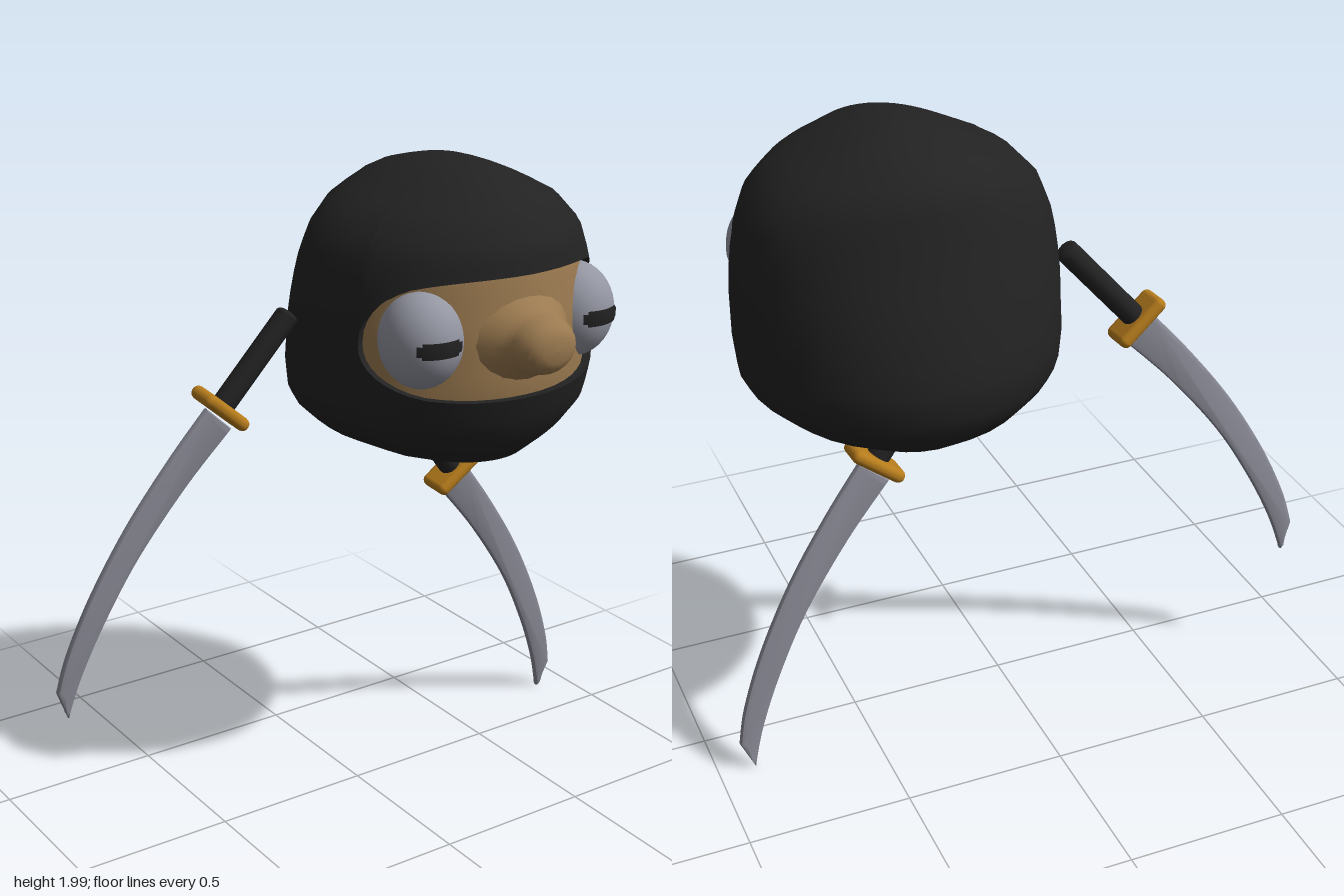
import * as THREE from 'three';
import { mergeVertices, toCreasedNormals } from 'three/addons/utils/BufferGeometryUtils.js';
import { RoundedBoxGeometry } from 'three/addons/geometries/RoundedBoxGeometry.js';

const mat = (name, color) => {
  const m = new THREE.MeshStandardMaterial({ color });
  m.name = name;
  return m;
};
const cloth = mat('black cloth', 0x222222);
const skin = mat('tan skin', 0x9b7a50);
const steel = mat('grey steel', 0x8b8c97);
const eyeGrey = mat('eye grey', 0x9496a2);
const brass = mat('brass', 0xb67c1c);

const { lerp } = THREE.MathUtils;
const CX = 0.337, CZ = -0.06;

// Head rings from bottom to top: y, half width, front z, back z
const rings = [
  [1.085, 0, -0.06, -0.06],
  [1.09, 0.1, 0.15, -0.15],
  [1.12, 0.24, 0.27, -0.36],
  [1.19, 0.38, 0.34, -0.46],
  [1.27, 0.465, 0.385, -0.51],
  [1.38, 0.475, 0.42, -0.52],
  [1.55, 0.475, 0.42, -0.475],
  [1.7, 0.457, 0.4, -0.42],
  [1.8, 0.42, 0.38, -0.39],
  [1.88, 0.345, 0.32, -0.365],
  [1.95, 0.2, 0.22, -0.3],
  [1.985, 0.1, 0.11, -0.17],
  [2.0, 0, -0.06, -0.06],
];
const TOP = rings.length - 1;

// Point on the head: a is the angle from the front, u the ring position
function headPoint(a, u, scale = 1) {
  const i = Math.min(Math.floor(u), TOP - 1);
  const [y, rx, zf, zb] = rings[i].map((v, k) => lerp(v, rings[i + 1][k], u - i));
  const rz = Math.cos(a) > 0 ? zf - CZ : CZ - zb;
  return [CX + rx * scale * Math.sin(a), y, CZ + rz * scale * Math.cos(a)];
}

// Smooth sheet from a grid of points, optionally leaving one row open
function sheet(cols, rows, point, openRow = -1) {
  const pos = [], idx = [], n = cols.length;
  for (let j = 0; j <= rows; j++)
    for (const col of cols) pos.push(...point(col, j / rows, j));
  for (let j = 0; j < rows; j++) {
    if (j === openRow) continue;
    for (let i = 0; i < n - 1; i++) {
      const a = j * n + i, b = a + 1, c = b + n, d = a + n;
      idx.push(a, b, c, a, c, d);
    }
  }
  const grid = new THREE.BufferGeometry();
  grid.setAttribute('position', new THREE.Float32BufferAttribute(pos, 3));
  grid.setIndex(idx);
  const merged = mergeVertices(grid, 1e-4);
  merged.computeVertexNormals();
  return merged;
}

function add(parent, name, geometry, material) {
  const m = new THREE.Mesh(geometry, material);
  m.name = name;
  parent.add(m);
  return m;
}

function buildHead() {
  const head = new THREE.Group();
  head.name = 'head';

  // Face opening, a rounded slot in angle and ring position
  const A = 1.14, MID = 5.85, INNER = 0.945;
  const slot = (a) => Math.abs(a) >= A - 1e-6 ? 0 : Math.pow(1 - Math.pow(Math.abs(a) / A, 2.8), 1 / 2.2);
  const low = (a) => MID - slot(a);
  const high = (a) => MID + 1.42 * slot(a);

  const front = [];
  for (let i = 0; i <= 28; i++) front.push(A * Math.sin((i / 28 - 0.5) * Math.PI));
  const around = [...front];
  for (let i = 1; i <= 22; i++) around.push(A + (2 * Math.PI - 2 * A) * i / 22);

  // Hood: below and above the slot, with a turned-in rim
  const HALF = 14;
  add(head, 'hood', sheet(around, 2 * HALF + 1, (a, v, j) => headPoint(a, j <= HALF
    ? low(a) * j / HALF
    : lerp(high(a), TOP, (j - HALF - 1) / HALF)), HALF), cloth);
  add(head, 'lowerRim', sheet(front, 2, (a, v) => headPoint(a, low(a), lerp(1, INNER, v))), cloth);
  add(head, 'upperRim', sheet(front, 2, (a, v) => headPoint(a, high(a), lerp(INNER, 1, v))), cloth);

  // Face set just inside the slot
  add(head, 'face', sheet(front, 10, (a, v) => headPoint(a, lerp(low(a), high(a), v), INNER)), skin);

  // Nose, flaring into the face
  const profile = [[0.17, 0.34], [0.135, 0.385], [0.103, 0.425], [0.095, 0.46], [0.08, 0.495], [0.05, 0.518], [0, 0.525]];
  const curve = new THREE.SplineCurve(profile.map(([r, z]) => new THREE.Vector2(r, z)));
  const nose = add(head, 'nose', new THREE.LatheGeometry(curve.getPoints(14), 20).rotateX(Math.PI / 2), skin);
  nose.position.set(CX, 1.53, 0);
  nose.scale.set(1.1, 0.92, 1);

  // Eyes with thin dash pupils
  for (const side of [-1, 1]) {
    const eye = new THREE.Group();
    eye.name = side > 0 ? 'leftEye' : 'rightEye';
    eye.position.set(CX + side * 0.283, 1.545, 0.245);
    eye.scale.set(0.125, 0.147, 0.13);
    head.add(eye);
    add(eye, 'eyeball', new THREE.SphereGeometry(1, 28, 20), eyeGrey);
    const mid = Math.PI / 2 + side * 0.14;
    for (const [w, h] of [[0.6, 0.1], [0.48, 0.16]])
      add(eye, 'pupil', new THREE.SphereGeometry(1.04, 12, 3, mid - w, 2 * w, Math.PI / 2 - h, 2 * h), cloth);
  }
  return head;
}

function buildSword(name) {
  const sword = new THREE.Group();
  sword.name = name;

  // Curved blade: back edge, slanted tip, cutting edge
  const points = (list) => list.map(([x, y]) => new THREE.Vector2(x, y));
  const outline = new THREE.Shape();
  outline.moveTo(-0.05, 0.01);
  outline.splineThru(points([[-0.18, -0.14], [-0.32, -0.325], [-0.44, -0.525], [-0.52, -0.7], [-0.555, -0.82]]));
  outline.lineTo(-0.52, -0.915);
  outline.splineThru(points([[-0.475, -0.785], [-0.395, -0.62], [-0.28, -0.43], [-0.12, -0.23], [0.035, -0.07]]));
  const blade = new THREE.ExtrudeGeometry(outline, {
    depth: 0.008, bevelThickness: 0.01, bevelSize: 0.012, bevelOffset: -0.012, bevelSegments: 2, curveSegments: 5,
  }).translate(0, 0, -0.004);
  add(sword, 'blade', toCreasedNormals(blade, 0.5), steel);

  // Guard and grip share the tilted handle axis
  const hilt = new THREE.Group();
  hilt.name = 'hilt';
  hilt.rotation.z = -0.72;
  sword.add(hilt);
  add(hilt, 'guard', new RoundedBoxGeometry(0.185, 0.042, 0.115, 3, 0.02), brass);
  add(hilt, 'grip', new THREE.CylinderGeometry(0.036, 0.036, 0.33, 14).translate(0, 0.175, 0), cloth);
  const gripEnd = add(hilt, 'gripEnd', new THREE.SphereGeometry(0.036, 14, 8), cloth);
  gripEnd.position.y = 0.34;
  gripEnd.scale.y = 0.4;
  return sword;
}

export function createModel() {
  const model = new THREE.Group();
  model.name = 'hoodedHead';
  model.add(buildHead());

  // One sword each side, the second turned about
  const right = buildSword('rightSword');
  right.position.set(-0.38, 1.3, -0.165);
  right.rotation.set(0.082, 0, 0);
  const left = buildSword('leftSword');
  left.position.set(0.435, 0.955, -0.095);
  left.rotation.set(0.082, Math.PI, 0.075);
  model.add(right, left);
  return model;
}
